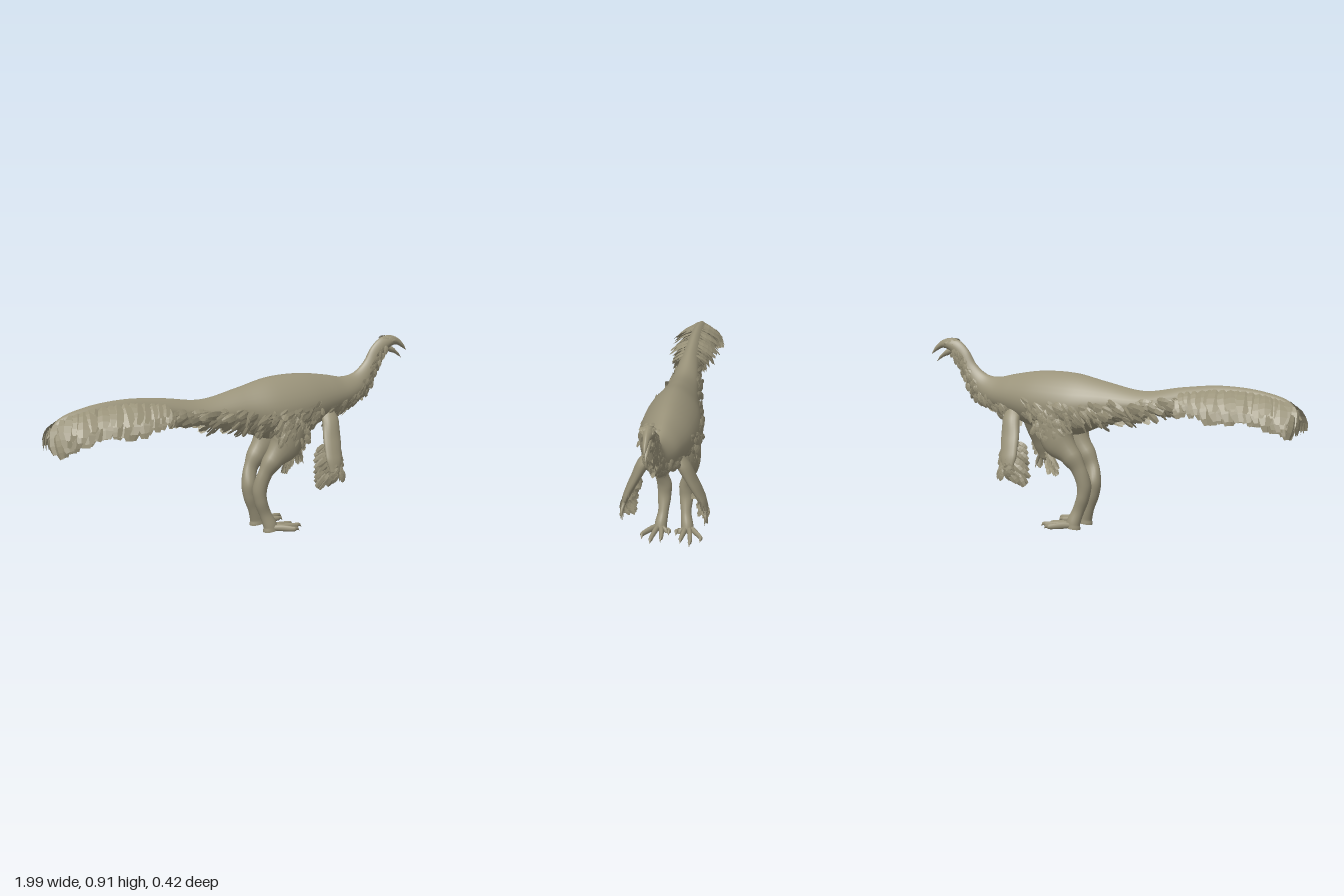
import * as THREE from 'three';
import { mergeGeometries } from 'three/addons/utils/BufferGeometryUtils.js';

const COLOR = 0x9a937a;
const skin = new THREE.MeshStandardMaterial({ color: COLOR });
const plumage = new THREE.MeshStandardMaterial({ color: COLOR, flatShading: true, side: THREE.DoubleSide });
const V = (x, y, z) => new THREE.Vector3(x, y, z);

// Small seeded random: value in -1..1
let seed = 7;
const rnd = () => {
  seed = (seed * 16807) % 2147483647;
  return (seed / 2147483647) * 2 - 1;
};

// Closed tube of rings; point(u, a) gives the surface position
function loft(point, nu, na) {
  const pos = [], idx = [];
  for (let i = 0; i <= nu; i++)
    for (let j = 0; j < na; j++) pos.push(...point(i / nu, (j / na) * Math.PI * 2).toArray());
  for (let i = 0; i < nu; i++)
    for (let j = 0; j < na; j++) {
      const k = (j + 1) % na, a = i * na + j, b = i * na + k;
      idx.push(a, b, a + na, b, b + na, a + na);
    }
  const g = new THREE.BufferGeometry();
  g.setAttribute('position', new THREE.Float32BufferAttribute(pos, 3));
  g.setIndex(idx);
  g.computeVertexNormals();
  return g;
}

// Tapered limb through stations [x, y, z, in-plane radius, z radius]
function limb(stations, side = 1, nu = 30, na = 16) {
  const path = new THREE.CatmullRomCurve3(stations.map(s => V(s[0], s[1], s[2] * side)));
  const n = stations.length - 1;
  const radius = (u, k) => {
    const i = Math.min(Math.floor(u * n), n - 1);
    const t = THREE.MathUtils.smoothstep(u * n - i, 0, 1);
    return THREE.MathUtils.lerp(stations[i][k], stations[i + 1][k], t);
  };
  return loft((u, a) => {
    const t = path.getTangent(u), l = Math.hypot(t.x, t.y) || 1;
    const r = radius(u, 3) * Math.cos(a);
    return path.getPoint(u).add(V((-t.y / l) * r, (t.x / l) * r, radius(u, 4) * Math.sin(a)));
  }, nu, na);
}

// Body stations: top x, y, bottom x, y, half width (tail tip to beak tip)
const BODY = [
  [-0.985, 0.60, -0.98, 0.59, 0.004], [-0.93, 0.675, -0.915, 0.635, 0.022], [-0.8, 0.718, -0.79, 0.665, 0.028],
  [-0.6, 0.735, -0.6, 0.655, 0.034], [-0.4, 0.718, -0.4, 0.61, 0.046], [-0.2, 0.69, -0.2, 0.565, 0.068],
  [0, 0.725, 0, 0.515, 0.095], [0.17, 0.76, 0.17, 0.455, 0.128], [0.35, 0.762, 0.36, 0.475, 0.122],
  [0.5, 0.74, 0.52, 0.525, 0.09], [0.6, 0.72, 0.65, 0.57, 0.06], [0.67, 0.73, 0.73, 0.615, 0.042],
  [0.735, 0.78, 0.785, 0.685, 0.032], [0.78, 0.85, 0.83, 0.775, 0.026], [0.83, 0.893, 0.862, 0.82, 0.026],
  [0.885, 0.905, 0.895, 0.845, 0.025], [0.935, 0.89, 0.93, 0.853, 0.015], [0.975, 0.857, 0.965, 0.838, 0.009],
  [0.998, 0.822, 0.995, 0.82, 0.001],
];
const topLine = new THREE.CatmullRomCurve3(BODY.map(r => V(r[0], r[1], r[4])));
const bottomLine = new THREE.CatmullRomCurve3(BODY.map(r => V(r[2], r[3], r[4])));
// Section narrows to a ridged back and a keeled belly
function bodyPoint(u, a) {
  const t = topLine.getPoint(u), b = bottomLine.getPoint(u), c = Math.cos(a);
  const z = t.z * Math.sin(a) * (1.04 - 0.1 * c - 0.2 * c * c);
  return V((t.x + b.x) / 2 + ((t.x - b.x) / 2) * c, (t.y + b.y) / 2 + ((t.y - b.y) / 2) * c, z);
}

// One drooping feather of unit length and width, growing along +y
function featherShape() {
  const g = new THREE.PlaneGeometry(1, 1, 2, 4).translate(0, 0.5, 0);
  const p = g.attributes.position, widths = [0.5, 0.9, 1, 0.95, 0.5];
  for (let i = 0; i < p.count; i++) {
    const t = p.getY(i), x = p.getX(i) * widths[Math.round(t * 4)];
    p.setXYZ(i, x, t, -0.35 * t * t - Math.abs(x) * 0.12);
  }
  return g;
}
const FEATHER = featherShape();
function feather(root, dir, normal, length, width) {
  const y = dir.clone().normalize();
  const x = y.clone().cross(normal).normalize();
  const z = x.clone().cross(y);
  const m = new THREE.Matrix4().makeBasis(x.multiplyScalar(width), y.multiplyScalar(length), z.multiplyScalar(length));
  return FEATHER.clone().applyMatrix4(m.setPosition(root));
}

// Feathers scattered on the body between stations i0..i1 and angles a0..a1 from the top
function scruff(i0, i1, a0, a1, count, length, width, dir, side) {
  const out = [], n = BODY.length - 1;
  for (let k = 0; k < count; k++) {
    const u = (i0 + ((i1 - i0) * (k + 0.5)) / count) / n;
    const a = a0 + (a1 - a0) * (rnd() * 0.5 + 0.5);
    const p = bodyPoint(u, a * side);
    const normal = V(rnd() * 0.4, Math.cos(a) + rnd() * 0.3, Math.sin(a) * side);
    const d = V(dir[0] + rnd() * 0.45, dir[1] + rnd() * 0.4, 0).addScaledVector(normal, 0.45);
    out.push(feather(p, d, normal, length * (1 + rnd() * 0.35), width * (1 + rnd() * 0.3)));
  }
  return out;
}

export function createModel() {
  const model = new THREE.Group();
  const add = (name, geometry, material = skin, parent = model) => {
    const mesh = new THREE.Mesh(geometry, material);
    mesh.name = name;
    parent.add(mesh);
    return mesh;
  };

  add('body', loft(bodyPoint, 120, 32));
  add('lowerJaw', limb([[0.86, 0.845, 0, 0.014, 0.018], [0.9, 0.832, 0, 0.015, 0.016],
    [0.937, 0.81, 0, 0.008, 0.01], [0.967, 0.783, 0, 0.001, 0.001]], 1, 14, 10));

  // Ragged crown
  const crown = [];
  for (let k = 0; k < 26; k++) {
    const a = rnd() * 1.4;
    crown.push(feather(bodyPoint((14.4 + (k / 26) * 1.3) / 18, a),
      V(-0.7 + rnd() * 0.5, 0.2, Math.sin(a) * 0.5), V(0, 1, Math.sin(a)), 0.022, 0.016));
  }
  add('crownFeathers', mergeGeometries(crown), plumage);

  for (const side of [1, -1]) {
    const label = side > 0 ? 'left' : 'right';
    const group = name => {
      const g = new THREE.Group();
      g.name = label + name;
      model.add(g);
      return g;
    };

    const eye = add(label + 'Eye', new THREE.SphereGeometry(0.008, 12, 8));
    eye.position.set(0.902, 0.879, 0.019 * side);

    // Leg with spread toes
    const leg = group('Leg');
    add('shank', limb([[0.24, 0.64, 0.055, 0.02, 0.02], [0.245, 0.54, 0.08, 0.1, 0.056], [0.225, 0.44, 0.08, 0.088, 0.058],
      [0.155, 0.36, 0.076, 0.052, 0.045], [0.115, 0.295, 0.069, 0.038, 0.029], [0.095, 0.22, 0.054, 0.036, 0.036],
      [0.1, 0.16, 0.054, 0.032, 0.033], [0.125, 0.09, 0.056, 0.03, 0.026], [0.148, 0.03, 0.065, 0.035, 0.03],
      [0.152, 0.003, 0.066, 0.04, 0.032]], side, 54, 20), skin, leg);
    for (const [x, z] of [[0.27, 0.142], [0.312, 0.095], [0.29, 0.048], [0.22, 0.018]])
      add('toe', limb([[0.13, 0.018, 0.066, 0.012, 0.014], [0.19, 0.019, 0.066 * 0.45 + z * 0.55, 0.016, 0.013],
        [x - 0.03, 0.016, z, 0.013, 0.01], [x - 0.015, 0.017, z, 0.009, 0.006], [x, 0.005, z, 0.001, 0.001]], side, 18, 10), skin, leg);

    // Arm with clawed fingers
    const arm = group('Arm');
    const armPath = [[0.485, 0.6, 0.05, 0.02, 0.02], [0.478, 0.53, 0.09, 0.046, 0.032], [0.462, 0.44, 0.132, 0.05, 0.025],
      [0.45, 0.36, 0.168, 0.046, 0.02], [0.445, 0.295, 0.19, 0.03, 0.012], [0.445, 0.275, 0.193, 0.004, 0.003]];
    add('forelimb', limb(armPath, side), skin, arm);
    for (let k = 0; k < 3; k++)
      add('finger', limb([[0.44 + k * 0.016, 0.31, 0.185, 0.01, 0.008], [0.445 + k * 0.024, 0.275, 0.194, 0.009, 0.007],
        [0.44 + k * 0.032, 0.236, 0.19, 0.001, 0.001]], side, 8, 8), skin, arm);

    // Wing: layered rows trailing from the forearm, shorter ones along its leading edge
    const wing = [];
    const curve = new THREE.CatmullRomCurve3(armPath.map(p => V(p[0], p[1], p[2] * side)));
    for (let row = 0; row < 4; row++)
      for (let k = 0; k < 11; k++) {
        const t = k / 10, p = curve.getPoint(0.46 + 0.48 * t).add(V(-0.03 + row * 0.012, 0, (row - 1.5) * 0.012 * side));
        wing.push(feather(p, V(-0.95 + 0.45 * t + rnd() * 0.2, -0.45 - 0.35 * t, (0.12 - row * 0.08 + rnd() * 0.25) * side),
          V(0.1 + rnd() * 0.3, 0.3, side), (0.055 + 0.035 * Math.sin(t * 2.2)) * (1 - row * 0.1), 0.034));
      }
    for (let k = 0; k < 14; k++)
      wing.push(feather(curve.getPoint(0.5 + k * 0.034).add(V(0.025, 0, 0.008 * side)),
        V(0.4 + rnd() * 0.4, -0.8, 0.35 * side), V(0, 0.4, side), 0.045, 0.024));
    add('wingFeathers', mergeGeometries(wing), plumage, arm);

    // Tail fan: overlapping rows curving outward and down, shrinking toward the body
    const tail = [];
    for (let row = 0; row < 3; row++)
      for (let k = 0; k < 19; k++) {
        const t = (k + row * 0.33) / 19, u = (0.85 + t * 3.3) / 18, back = Math.max(0, 1 - t * 4);
        const p = bodyPoint(u, (0.9 + row * 0.45) * side);
        const d = V(-0.35 + back * 0.2 + rnd() * 0.15, -0.35 - back * 0.5 - row * 0.3 + rnd() * 0.08, (0.95 - row * 0.2) * side);
        const size = (1 - 0.45 * THREE.MathUtils.smoothstep(t, 0.65, 1)) * (1 + rnd() * 0.12);
        tail.push(feather(p, d, V(-0.15 + rnd() * 0.3, 1, 0.45 * side), 0.125 * size, 0.066 * size));
      }
    // Hanging feathers that close the rear of the fan
    for (let k = 0; k < 7; k++)
      tail.push(feather(V(-0.955 - 0.012 * Math.cos(k), 0.645 - k * 0.004, (0.008 + k * 0.009) * side),
        V(-0.3, -1, (0.05 + k * 0.09) * side), V(-1, 0.3, 0.3 * side), 0.105 + rnd() * 0.01, 0.045));
    add(label + 'TailFeathers', mergeGeometries(tail), plumage);

    // Flank, breast and throat scruff
    add(label + 'FlankFeathers', mergeGeometries([
      ...scruff(3.6, 6.2, 1.3, 2.5, 95, 0.06, 0.036, [-1, -0.4], side),
      ...scruff(6, 8.4, 1.45, 2.2, 90, 0.05, 0.028, [-0.7, -0.6], side),
    ]), plumage);
    add(label + 'NeckFeathers', mergeGeometries([
      ...scruff(8.9, 11, 1.8, 3.1, 75, 0.042, 0.028, [-0.7, -0.6], side),
      ...scruff(11, 14.2, 1.4, 3.1, 85, 0.032, 0.022, [-0.35, -0.9], side),
    ]), plumage);

    // Thigh scruff
    const thigh = [];
    for (let k = 0; k < 60; k++) {
      const x = 0.265 + rnd() * 0.095, y = 0.525 + rnd() * 0.055;
      const bulge = 0.056 * Math.sqrt(Math.max(0.1, 1 - ((x - 0.245) / 0.1) ** 2));
      thigh.push(feather(V(x, y, (0.078 + bulge) * side), V(-0.3 + rnd() * 0.8, -0.8, 0.35 * side),
        V(rnd() * 0.4, 0.3, side), 0.045 + rnd() * 0.012, 0.028));
    }
    add(label + 'ThighFeathers', mergeGeometries(thigh), plumage);
  }
  return model;
}
